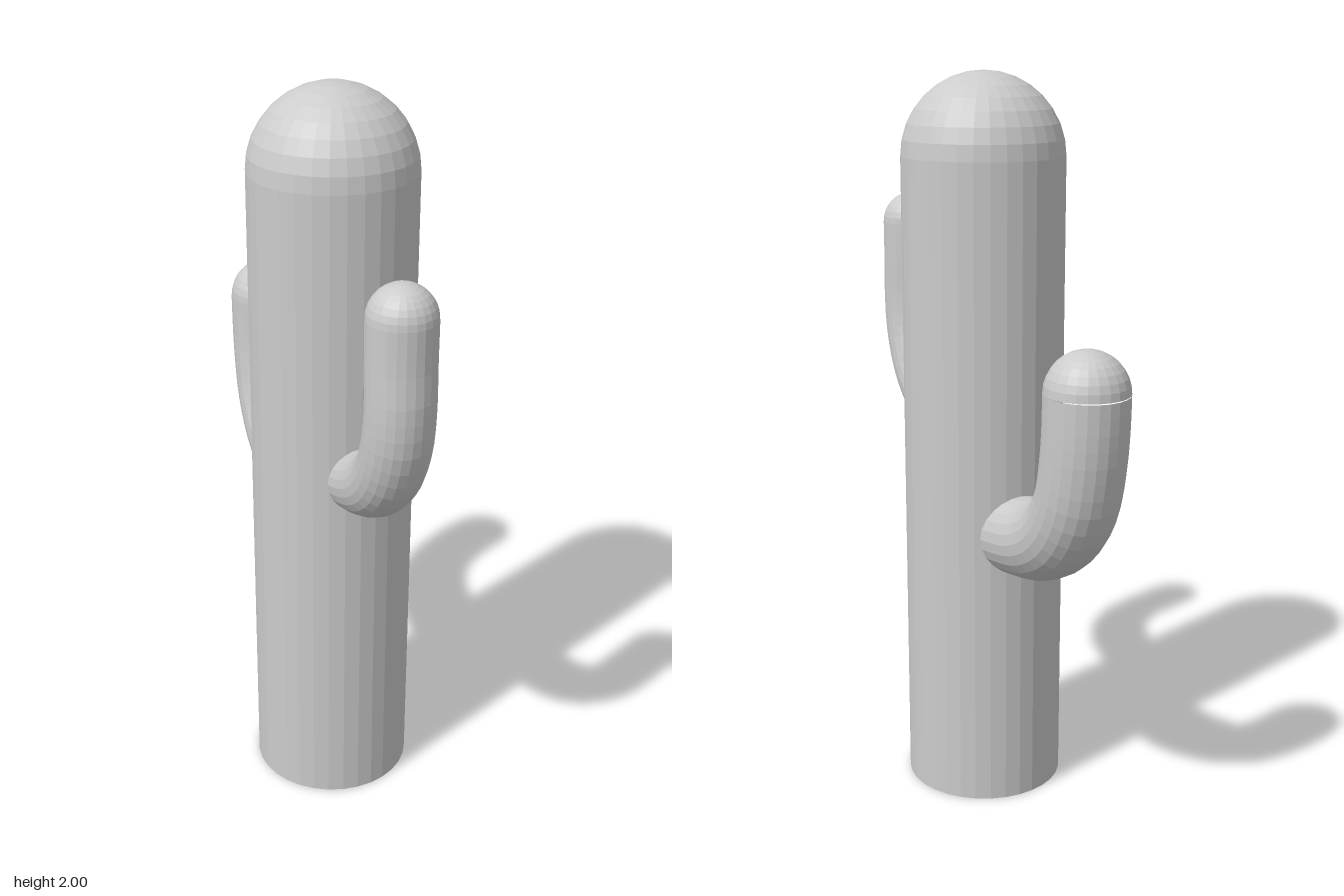
import * as THREE from 'three';

const material = new THREE.MeshStandardMaterial({ color: 0xcccccc, flatShading: true });

function addMesh(parent, name, geometry) {
  const mesh = new THREE.Mesh(geometry, material);
  mesh.name = name;
  parent.add(mesh);
  return mesh;
}

// Upright column with a rounded top and a closed base
function makeTrunk(radius, height) {
  const profile = [new THREE.Vector2(0, 0), new THREE.Vector2(radius, 0)];
  const rings = 8;
  for (let i = 0; i <= rings; i++) {
    const a = (i / rings) * Math.PI / 2;
    profile.push(new THREE.Vector2(i === rings ? 0 : radius * Math.cos(a), height - radius + radius * Math.sin(a)));
  }
  return new THREE.LatheGeometry(profile, 32);
}

// Bent arm: a tube along [z, y] points, closed by a half-sphere tip
function makeArm(name, radius, points) {
  const arm = new THREE.Group();
  arm.name = name;
  const path = new THREE.CatmullRomCurve3(points.map(([z, y]) => new THREE.Vector3(0, y, z)));
  addMesh(arm, name + 'Stem', new THREE.TubeGeometry(path, 20, radius, 24));
  const tip = addMesh(arm, name + 'Tip', new THREE.SphereGeometry(radius, 24, 8, 0, Math.PI * 2, 0, Math.PI / 2));
  const [z, y] = points[points.length - 1];
  tip.position.set(0, y, z);
  return arm;
}

export function createModel() {
  const cactus = new THREE.Group();
  cactus.name = 'cactus';

  addMesh(cactus, 'trunk', makeTrunk(0.22, 2)).position.z = 0.055;

  // The slim arm sits higher at the front, the thick one lower at the back
  cactus.add(makeArm('frontArm', 0.0875, [
    [0.16, 0.99], [0.27, 1.012], [0.38, 1.06], [0.455, 1.13], [0.502, 1.23], [0.516, 1.34], [0.513, 1.44], [0.513, 1.555],
  ]));
  cactus.add(makeArm('backArm', 0.109, [
    [-0.05, 0.77], [-0.165, 0.785], [-0.29, 0.813], [-0.39, 0.873], [-0.455, 0.965], [-0.483, 1.08], [-0.492, 1.17], [-0.494, 1.253],
  ]));

  return cactus;
}
